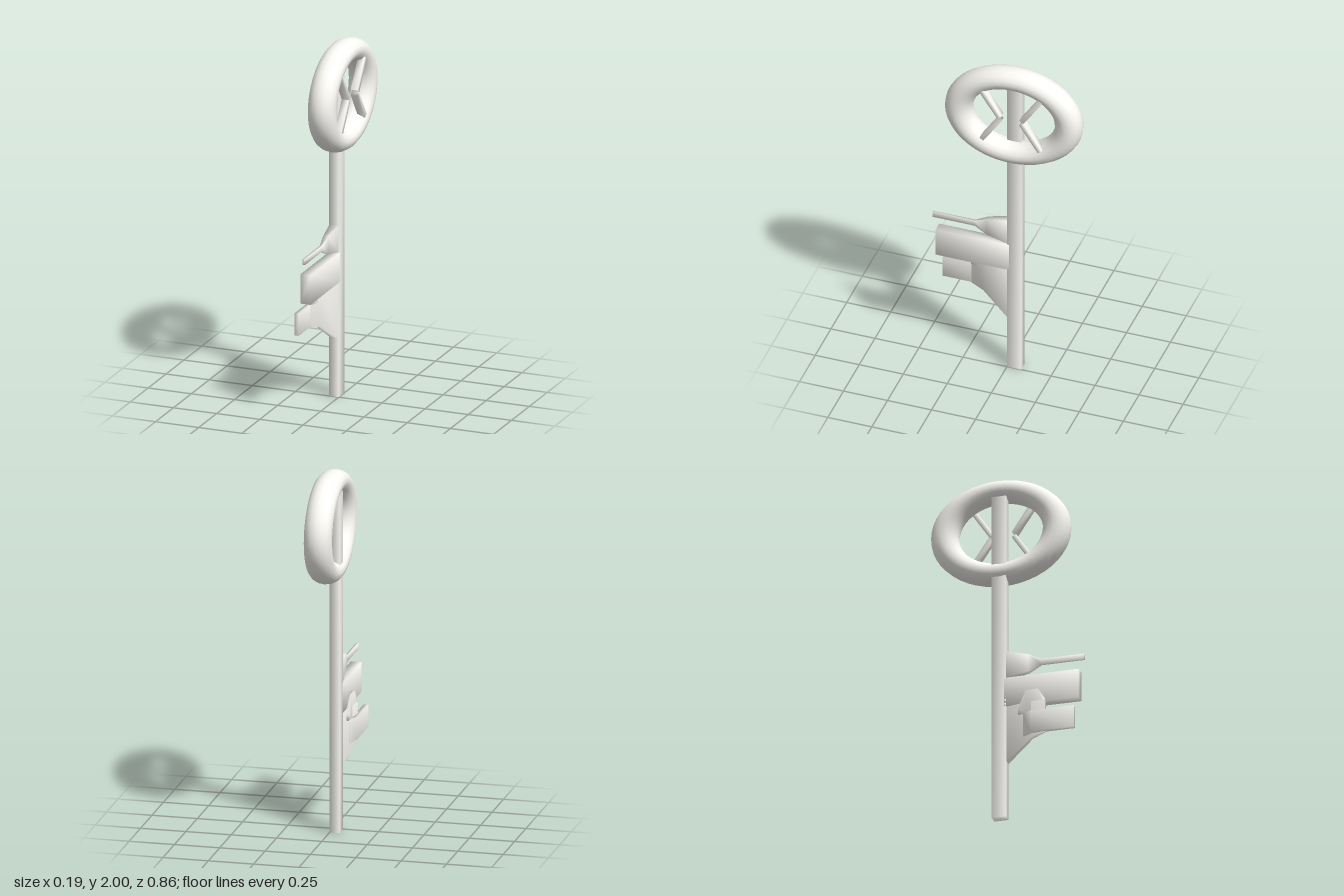
import * as THREE from 'three';
import { mergeVertices } from 'three/addons/utils/BufferGeometryUtils.js';

const offWhite = new THREE.MeshStandardMaterial({ color: 0xfbfaf5 });

function part(name, geometry) {
  const mesh = new THREE.Mesh(geometry, offWhite);
  mesh.name = name;
  return mesh;
}

// Box whose normals are blended across its edges
function softBox(w, h, d) {
  const g = new THREE.BoxGeometry(w, h, d);
  g.deleteAttribute('normal');
  g.deleteAttribute('uv');
  const merged = mergeVertices(g);
  merged.computeVertexNormals();
  return merged;
}

// Solid lofted along z through rectangular sections [z, x0, x1, y0, y1]
function loft(name, sections) {
  const pos = [], idx = [];
  for (const [z, x0, x1, y0, y1] of sections) {
    pos.push(x0, y0, z, x1, y0, z, x1, y1, z, x0, y1, z);
  }
  const last = (sections.length - 1) * 4;
  for (let a = 0; a < last; a += 4) {
    for (let i = 0; i < 4; i++) {
      const j = (i + 1) % 4;
      idx.push(a + i, a + j, a + 4 + j, a + i, a + 4 + j, a + 4 + i);
    }
  }
  idx.push(0, 2, 1, 0, 3, 2, last, last + 1, last + 2, last, last + 2, last + 3);
  const g = new THREE.BufferGeometry();
  g.setAttribute('position', new THREE.Float32BufferAttribute(pos, 3));
  g.setIndex(idx);
  g.computeVertexNormals();
  return part(name, g);
}

// Bar between two points, lying near the left face of the bow
function bar(z0, y0, z1, y1) {
  const dz = z1 - z0, dy = y1 - y0;
  const mesh = part('bowBar', softBox(0.04, Math.hypot(dz, dy), 0.028));
  mesh.position.set(0.05, (y0 + y1) / 2, (z0 + z1) / 2);
  mesh.rotation.x = Math.atan2(dz, dy);
  return mesh;
}

export function createModel() {
  const group = new THREE.Group();
  group.name = 'key';

  // Shaft, running up through the bow
  const shaft = part('shaft', softBox(0.055, 1.89, 0.08));
  shaft.position.set(-0.0275, 0.945, -0.04);
  group.add(shaft);

  // Oval bow, turned slightly off the shaft's plane
  const ringGeo = new THREE.TorusGeometry(0.309, 0.077, 16, 48);
  ringGeo.rotateY(Math.PI / 2).scale(1, 0.785, 1).rotateY(0.03);
  const ring = part('bowRing', ringGeo);
  ring.position.set(0.005, 1.697, -0.043);
  group.add(ring);

  // Two bent pairs of bars inside the bow
  for (const side of [1, -1]) {
    for (const up of [1, -1]) {
      group.add(bar(-0.043 + side * 0.063, 1.698 + up * 0.008,
        -0.043 + side * 0.168, 1.698 + up * 0.165));
    }
  }

  // Upper tooth: tapers to a thin rod
  group.add(loft('upperTooth', [
    [-0.01, -0.055, 0, 0.818, 0.972],
    [0.12, -0.04, -0.01, 0.845, 0.945],
    [0.19, -0.031, -0.018, 0.88, 0.912],
    [0.43, -0.031, -0.018, 0.88, 0.912],
  ]));

  // Middle tooth: plain block
  group.add(loft('middleTooth', [
    [-0.01, -0.055, 0.004, 0.65, 0.815],
    [0.405, -0.055, 0.004, 0.65, 0.815],
  ]));

  // Lower tooth: web slanting sideways, then a flat offset tip
  group.add(loft('lowerToothWeb', [
    [-0.01, -0.04, 0, 0.32, 0.65],
    [0.15, -0.072, -0.045, 0.44, 0.65],
    [0.225, -0.08, -0.068, 0.458, 0.65],
  ]));
  group.add(loft('lowerToothTip', [
    [0.1, -0.066, -0.05, 0.45, 0.585],
    [0.15, -0.095, -0.07, 0.46, 0.585],
    [0.39, -0.095, -0.07, 0.46, 0.585],
  ]));

  // Small web joining the lower tooth to the side of the middle one
  group.add(loft('toothLink', [
    [0.07, -0.066, -0.05, 0.585, 0.62],
    [0.115, -0.07, -0.05, 0.585, 0.72],
    [0.185, -0.072, -0.05, 0.585, 0.72],
    [0.225, -0.078, -0.06, 0.585, 0.65],
  ]));

  return group;
}
